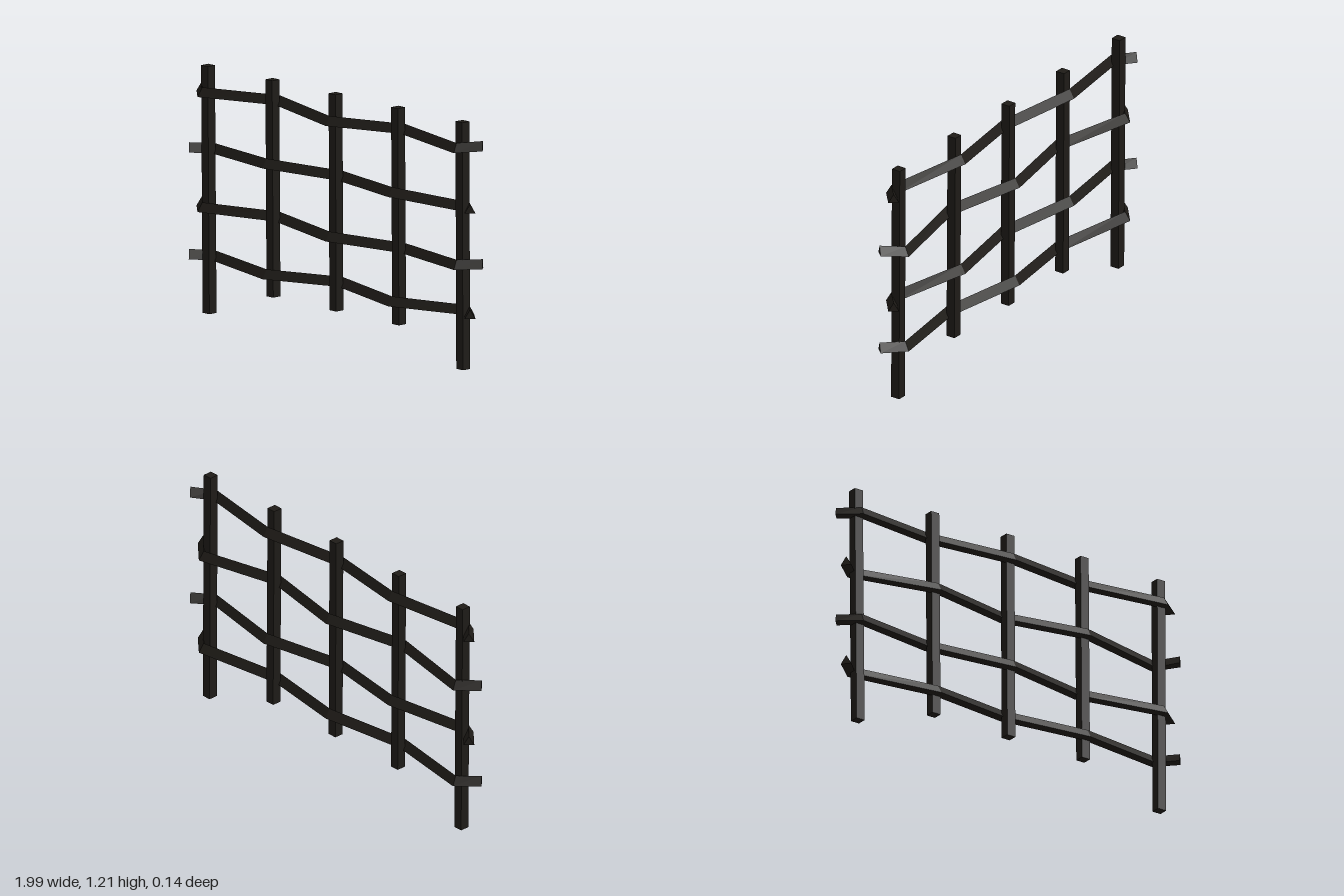
import * as THREE from 'three';

const material = new THREE.MeshStandardMaterial({ color: 0x1e1b17, flatShading: true });

// Square post whose foot and head sit at slightly different x
function makePost(xBottom, xTop, yBottom, yTop) {
  const geo = new THREE.BoxGeometry(0.047, yTop - yBottom, 0.047);
  geo.translate(0, (yTop + yBottom) / 2, 0);
  const pos = geo.attributes.position;
  for (let i = 0; i < pos.count; i++) {
    pos.setX(i, pos.getX(i) + (pos.getY(i) > (yTop + yBottom) / 2 ? xTop : xBottom));
  }
  geo.computeVertexNormals();
  return new THREE.Mesh(geo, material);
}

// Triangular rod with its ridge on top, swept through points with mitred bends
function makeRod(points) {
  const halfWidth = 0.026, halfHeight = 0.0225;
  const corners = [[-halfWidth, -halfHeight], [halfWidth, -halfHeight], [0, halfHeight]];
  const last = points.length - 1;
  const heading = (i) => new THREE.Vector2(
    points[i + 1].x - points[i].x, points[i + 1].z - points[i].z).normalize();
  const verts = [], index = [];
  points.forEach((p, i) => {
    const t = heading(Math.max(i - 1, 0)).add(heading(Math.min(i, last - 1))).normalize();
    for (const [w, h] of corners) verts.push(p.x - t.y * w, p.y + h, p.z + t.x * w);
    if (i === last) return;
    for (let k = 0; k < 3; k++) {
      const a = i * 3 + k, b = i * 3 + (k + 1) % 3;
      index.push(a, b + 3, b, a, a + 3, b + 3);
    }
  });
  // End caps
  const e = last * 3;
  index.push(0, 1, 2, e, e + 2, e + 1);
  const indexed = new THREE.BufferGeometry();
  indexed.setAttribute('position', new THREE.Float32BufferAttribute(verts, 3));
  indexed.setIndex(index);
  const geo = indexed.toNonIndexed();
  geo.computeVertexNormals();
  return new THREE.Mesh(geo, material);
}

export function createModel() {
  const fence = new THREE.Group();
  fence.name = 'wovenFence';

  // Posts: the outer two reach the ground
  const posts = [
    [-0.882, -0.893, 0], [-0.436, -0.444, 0.15], [0.003, -0.003, 0.15],
    [0.441, 0.433, 0.15], [0.888, 0.882, 0],
  ];
  posts.forEach(([xBottom, xTop, yBottom], i) => {
    const post = makePost(xBottom, xTop, yBottom, 1.21);
    post.name = `post${i + 1}`;
    fence.add(post);
  });

  // Rods weave in front of and behind the posts, alternating by row
  const stations = [-0.98, -0.888, -0.44, 0, 0.437, 0.886, 0.98];
  const rows = [
    [1.09, 1.086, 1.105, 1.083, 1.1, 1.088, 1.1],
    [0.803, 0.8, 0.807, 0.803, 0.803, 0.786, 0.803],
    [0.527, 0.523, 0.535, 0.518, 0.517, 0.517, 0.522],
    [0.281, 0.276, 0.265, 0.284, 0.268, 0.282, 0.287],
  ];
  rows.forEach((heights, r) => {
    const points = stations.map((x, i) =>
      new THREE.Vector3(x, heights[i], (i + r) % 2 ? 0.042 : -0.042));
    const rod = makeRod(points);
    rod.name = `wovenRod${r + 1}`;
    fence.add(rod);
  });

  return fence;
}
